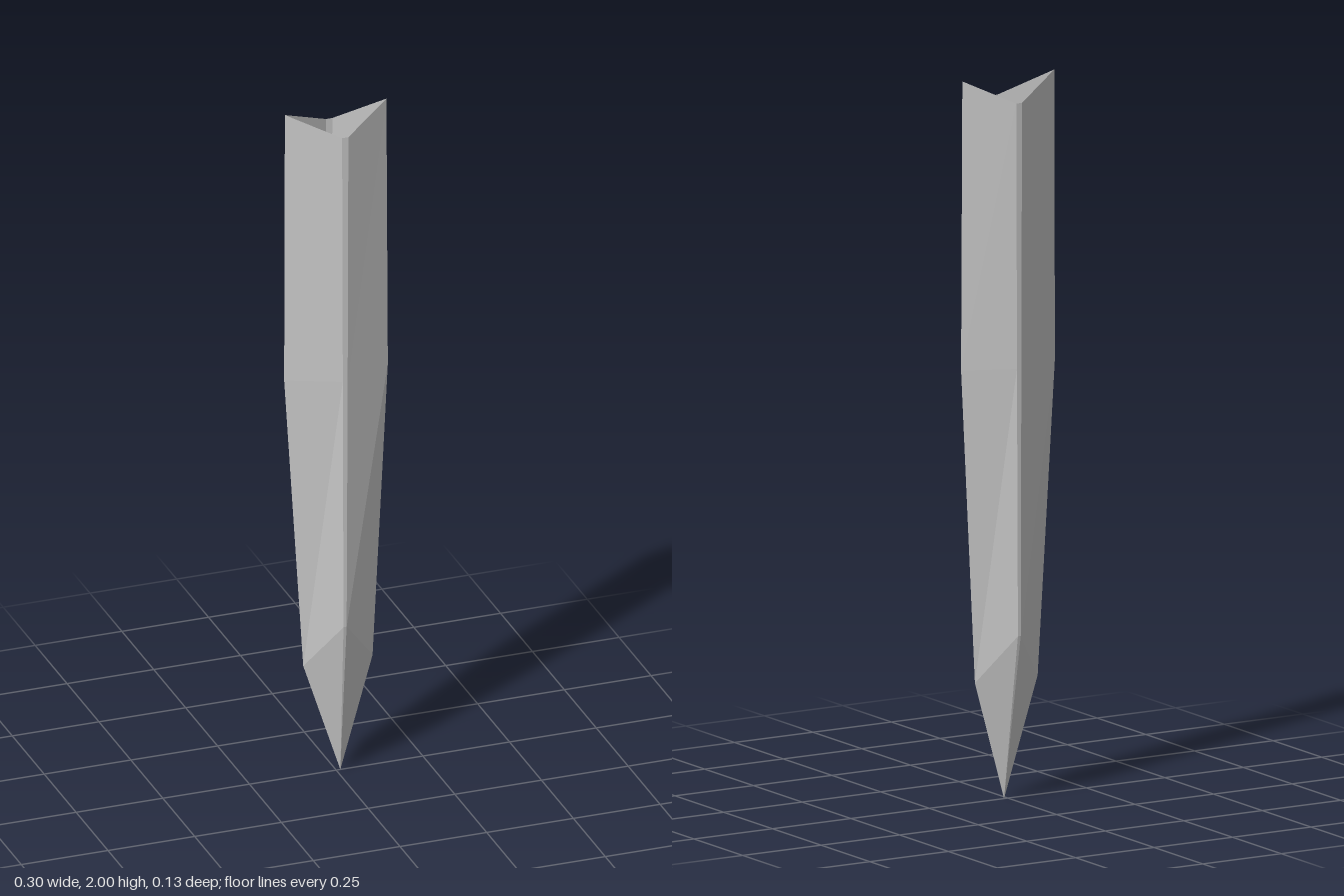
import * as THREE from 'three';

// One six-point ring: two sharp edges plus a narrow ridge strip on the front and back
function ring({ edgeY, left, right, ridgeY, ridgeL, ridgeR, depth }) {
  return [
    [left, edgeY, 0],
    [ridgeL, ridgeY, depth],
    [ridgeR, ridgeY, depth],
    [right, edgeY, 0],
    [ridgeR, ridgeY, -depth],
    [ridgeL, ridgeY, -depth],
  ];
}

export function createModel() {
  const group = new THREE.Group();
  group.name = 'blade';

  // Cross-sections from the point up to the notched open end
  const depth = 0.063;
  const rings = [
    { edgeY: 0.33, left: -0.095, right: 0.105, ridgeY: 0.46, ridgeL: -0.002, ridgeR: 0.007, depth },
    { edgeY: 1.2, left: -0.15, right: 0.149, ridgeY: 1.2, ridgeL: -0.004, ridgeR: 0.01, depth },
    { edgeY: 2, left: -0.148, right: 0.145, ridgeY: 1.935, ridgeL: -0.006, ridgeR: 0.012, depth },
  ].map(ring);
  const tip = [0.012, 0, 0];

  const points = [];
  const triangle = (a, b, c) => points.push(...a, ...b, ...c);
  for (let i = 0; i < 6; i++) {
    const j = (i + 1) % 6;
    // Pointed end
    triangle(tip, rings[0][j], rings[0][i]);
    // Blade walls
    for (let r = 0; r < rings.length - 1; r++) {
      const low = rings[r], high = rings[r + 1];
      triangle(low[i], low[j], high[j]);
      triangle(low[i], high[j], high[i]);
    }
  }

  const geometry = new THREE.BufferGeometry();
  geometry.setAttribute('position', new THREE.Float32BufferAttribute(points, 3));
  geometry.computeVertexNormals();

  // Hollow shell, open at the top
  const material = new THREE.MeshStandardMaterial({
    color: 0xcccccc, flatShading: true, side: THREE.DoubleSide,
  });
  const shell = new THREE.Mesh(geometry, material);
  shell.name = 'bladeShell';
  group.add(shell);
  return group;
}
